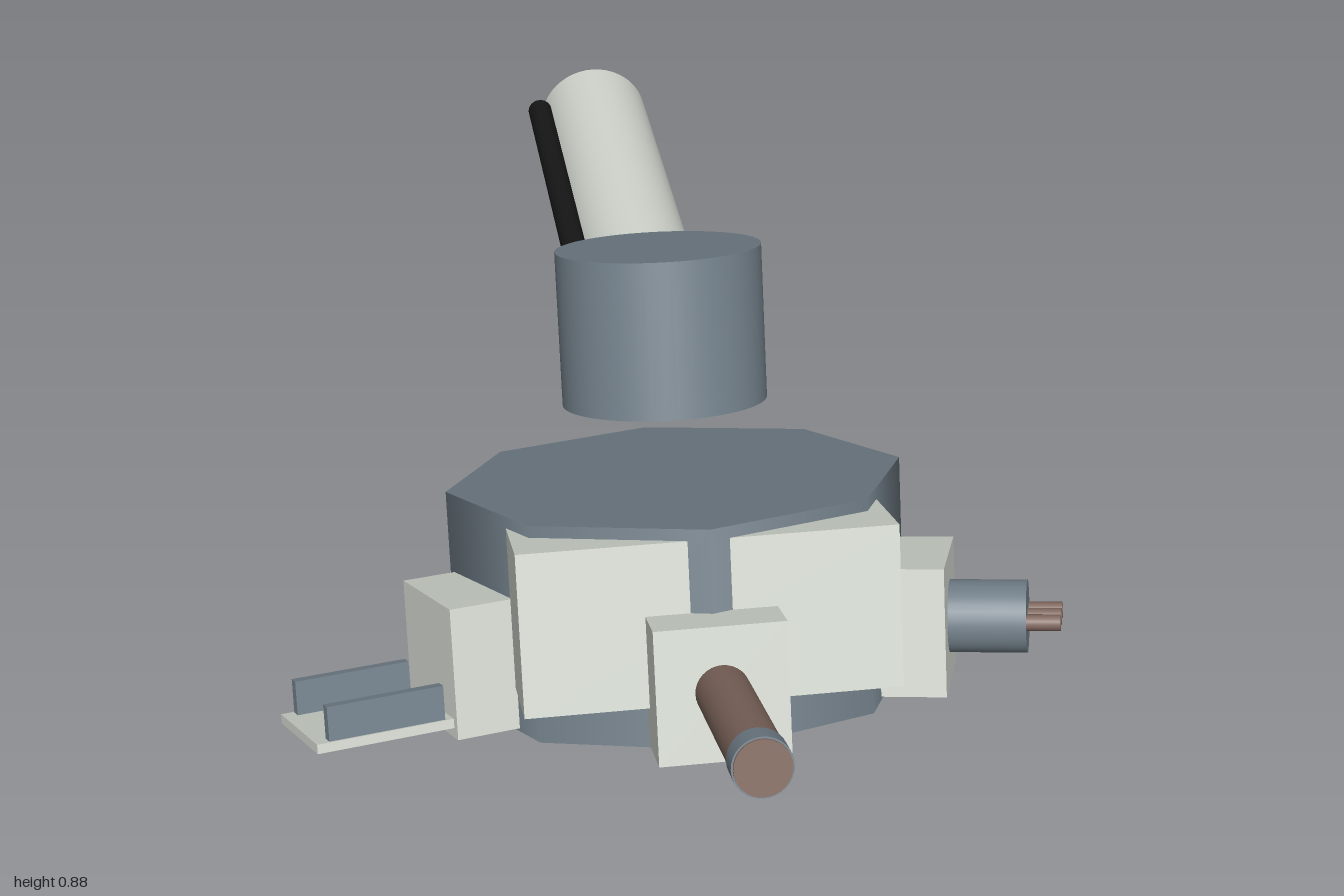
import * as THREE from 'three';

export function createModel() {
  const mat = (name, color) => {
    const m = new THREE.MeshStandardMaterial({ color });
    m.name = name;
    return m;
  };
  const pale = mat('pale grey', 0xd0d5cd);
  const slate = mat('slate blue', 0x717e88);
  const brown = mat('brown metal', 0x7f675d);
  const black = mat('black', 0x161616);

  const add = (parent, name, geometry, material, x = 0, y = 0, z = 0) => {
    const mesh = new THREE.Mesh(geometry, material);
    mesh.name = name;
    mesh.position.set(x, y, z);
    parent.add(mesh);
    return mesh;
  };
  const box = (w, h, d) => new THREE.BoxGeometry(w, h, d);
  // cylinder running along z from z0 to z1
  const rod = (r, z0, z1, sides = 32) =>
    new THREE.CylinderGeometry(r, r, z1 - z0, sides).rotateX(Math.PI / 2).translate(0, 0, (z0 + z1) / 2);

  const model = new THREE.Group();
  model.name = 'model';

  // tilted hull and everything fixed to it
  const hull = new THREE.Group();
  hull.name = 'hull';
  hull.position.x = 0.04;
  hull.rotation.x = -THREE.MathUtils.degToRad(20);
  model.add(hull);
  const bodyZ = 0.284;
  add(hull, 'body', new THREE.CylinderGeometry(0.392, 0.392, 0.365, 8), slate, 0, 0.247, bodyZ);
  add(hull, 'frontPlate', box(0.615, 0.27, 0.18), pale, 0, 0.275, 0.572);
  add(hull, 'turret', new THREE.CylinderGeometry(0.177, 0.177, 0.267, 48), slate, 0, 0.677, 0.2);

  // five mounting blocks spaced evenly around the body, each facing outward along its own z
  const names = ['frontMount', 'leftMount', 'backLeftMount', 'backRightMount', 'rightMount'];
  const mounts = names.map((name, i) => {
    const g = new THREE.Group();
    g.name = name;
    g.position.set(0, 0.181, bodyZ);
    g.rotation.y = (i * Math.PI * 2) / 5;
    hull.add(g);
    add(g, 'mountBlock', box(0.213, 0.222, 0.125), pale, 0, 0, 0.402);
    return g;
  });

  // long front gun with a collar near the muzzle
  add(mounts[0], 'frontGun', rod(0.044, 0.45, 0.832), brown, 0, 0.004, 0);
  add(mounts[0], 'gunCollar', rod(0.047, 0.785, 0.828), slate, 0, 0.004, 0);

  // triple gun on the left
  add(mounts[1], 'gunHousing', rod(0.062, 0.45, 0.595), slate);
  for (const x of [-0.038, 0, 0.038]) add(mounts[1], 'smallBarrel', rod(0.014, 0.59, 0.652, 16), brown, x);

  // recessed thrusters at the back
  const nozzle = [[0.058, 0.45], [0.058, 0.54], [0.044, 0.54], [0.044, 0.515], [0, 0.515]];
  for (const mount of mounts.slice(2, 4)) {
    // separate rings keep the rims sharp
    for (let i = 0; i < nozzle.length - 1; i++) {
      const points = [nozzle[i], nozzle[i + 1]].map(([r, h]) => new THREE.Vector2(r, h));
      add(mount, 'nozzle', new THREE.LatheGeometry(points, 32).rotateX(Math.PI / 2), slate);
    }
  }

  // launch tray with two rails on the right
  add(mounts[4], 'tray', box(0.185, 0.016, 0.25), pale, 0, -0.086, 0.575);
  for (const x of [-0.08, 0.08]) add(mounts[4], 'trayRail', box(0.018, 0.06, 0.2), slate, x, -0.05, 0.578);

  // level rear boom with a thin rod alongside
  add(model, 'boom', rod(0.105, -1, -0.036, 48), pale, 0.04, 0.64, 0);
  add(model, 'boomRod', rod(0.023, -0.95, -0.12, 16), black, -0.073, 0.686, 0);

  return model;
}
